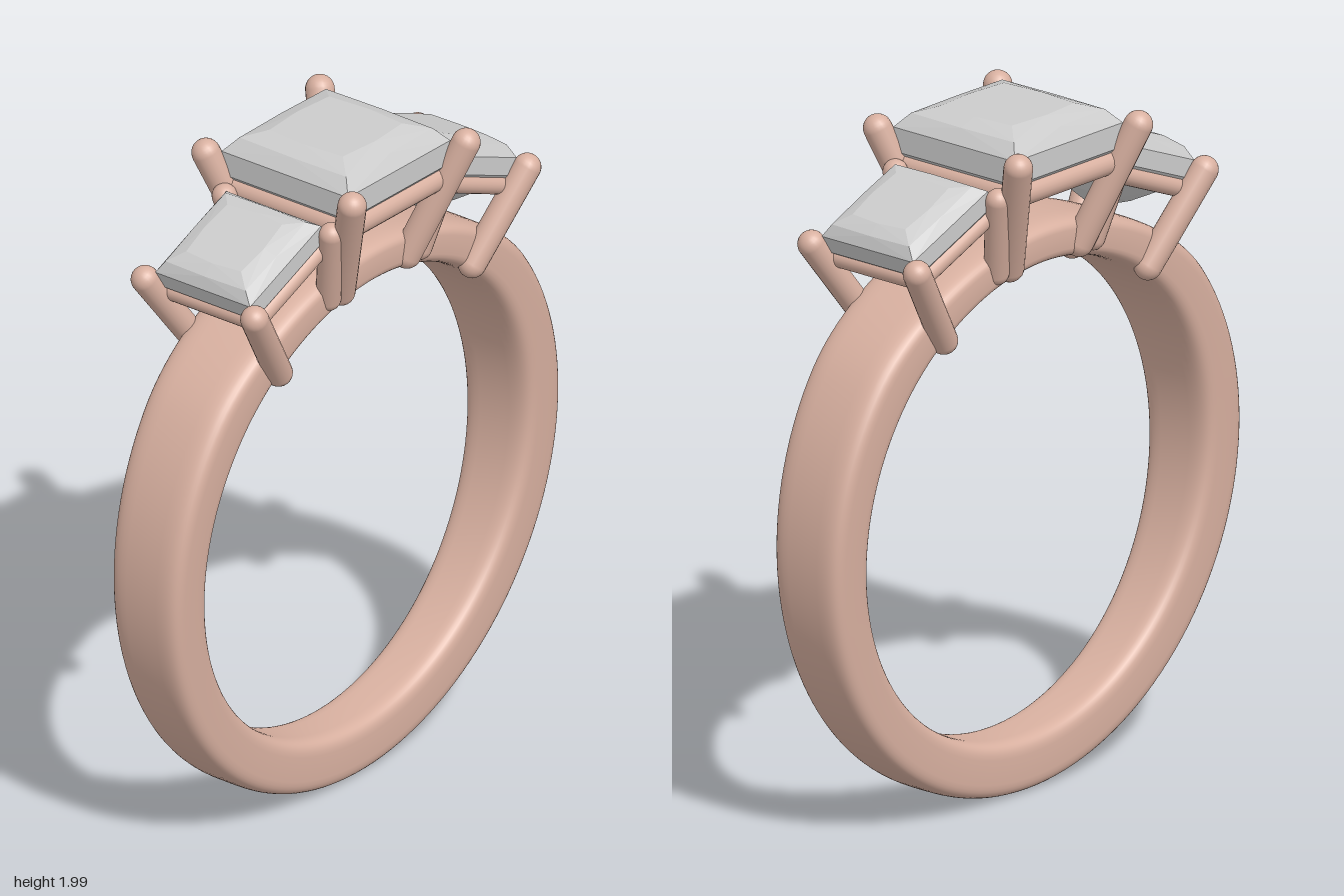
import * as THREE from 'three';
import { ConvexGeometry } from 'three/addons/geometries/ConvexGeometry.js';

const metal = new THREE.MeshStandardMaterial({ color: 0xd8b0a0 });
const gem = new THREE.MeshStandardMaterial({ color: 0xcccccc, flatShading: true });

function addMesh(parent, name, geometry, material) {
  const mesh = new THREE.Mesh(geometry, material);
  mesh.name = name;
  parent.add(mesh);
  return mesh;
}

// Round-ended rod between two points
function rod(parent, name, from, to, radius) {
  const a = new THREE.Vector3(...from), b = new THREE.Vector3(...to);
  const dir = b.clone().sub(a);
  const mesh = addMesh(parent, name, new THREE.CapsuleGeometry(radius, dir.length(), 8, 20), metal);
  mesh.position.copy(a).add(b).multiplyScalar(0.5);
  mesh.quaternion.setFromUnitVectors(new THREE.Vector3(0, 1, 0), dir.normalize());
  return mesh;
}

// Tapered band: a rounded cross-section swept round the finger hole
function bandGeometry() {
  const steps = 144, sides = 40, inner = 0.695, centerY = 0.865;
  const positions = [], index = [];
  const round = (v) => Math.sign(v) * Math.pow(Math.abs(v), 0.45);
  for (let i = 0; i < steps; i++) {
    const a = (i / steps) * Math.PI * 2;
    const thick = 0.162 - 0.04 * THREE.MathUtils.smoothstep(Math.sin(a), 0.6, 1);
    const half = 0.086 + 0.04 * (centerY + 0.77 * Math.sin(a));
    for (let j = 0; j < sides; j++) {
      const b = (j / sides) * Math.PI * 2;
      const r = inner + (thick / 2) * (1 + round(Math.cos(b)));
      positions.push(r * Math.cos(a), centerY + r * Math.sin(a), half * round(Math.sin(b)));
      const i2 = (i + 1) % steps, j2 = (j + 1) % sides;
      const p = i * sides + j, q = i2 * sides + j, s = i2 * sides + j2, t = i * sides + j2;
      index.push(p, q, s, p, s, t);
    }
  }
  const g = new THREE.BufferGeometry();
  g.setAttribute('position', new THREE.Float32BufferAttribute(positions, 3));
  g.setIndex(index);
  g.computeVertexNormals();
  return g;
}

// Square-cut stone: [half width, height, bulge of the side midpoints]
function stoneGeometry() {
  const levels = [
    [0.13, 0.095, 1.08], [0.19, 0.075, 1.02], [0.225, 0.035, 1], [0.225, -0.035, 1],
    [0.16, -0.105, 1.05], [0.09, -0.17, 1.08],
  ];
  const points = [new THREE.Vector3(0, -0.225, 0)];
  for (const [h, y, bulge] of levels) {
    for (const s of [-1, 1]) {
      points.push(new THREE.Vector3(s * h, y, h), new THREE.Vector3(s * h, y, -h));
      points.push(new THREE.Vector3(s * h * bulge, y, 0), new THREE.Vector3(0, y, s * h * bulge));
    }
  }
  return new ConvexGeometry(points);
}

// Stone with the square rail that carries it
function setting(name, x, y, tilt, scale) {
  const group = new THREE.Group();
  group.name = name;
  addMesh(group, 'stone', stoneGeometry(), gem);
  const h = 0.2, ry = -0.077;
  for (const s of [-1, 1]) {
    rod(group, 'rail', [-h, ry, s * h], [h, ry, s * h], 0.036);
    rod(group, 'rail', [s * h, ry, -h], [s * h, ry, h], 0.036);
  }
  group.position.set(x, y, 0);
  group.rotation.z = tilt;
  group.scale.setScalar(scale);
  return group;
}

export function createModel() {
  const model = new THREE.Group();
  model.name = 'ring';
  addMesh(model, 'band', bandGeometry(), metal);

  // Three stones, the outer two leaning away from the middle
  model.add(setting('centerSetting', 0, 1.905, 0, 1));
  model.add(setting('leftSetting', 0.42, 1.765, -0.39, 0.75));
  model.add(setting('rightSetting', -0.42, 1.765, 0.39, 0.75));

  // Prongs, mirrored to all four corners
  for (const sx of [-1, 1]) {
    for (const sz of [-1, 1]) {
      const p = (x, y, z) => [sx * x, y, sz * z];
      rod(model, 'centerProng', p(0.145, 1.59, 0.135), p(0.25, 1.935, 0.26), 0.041);
      rod(model, 'innerSideProng', p(0.2, 1.59, 0.135), p(0.255, 1.825, 0.19), 0.036);
      rod(model, 'outerSideProng', p(0.425, 1.45, 0.14), p(0.598, 1.7, 0.195), 0.04);
    }
  }
  return model;
}
